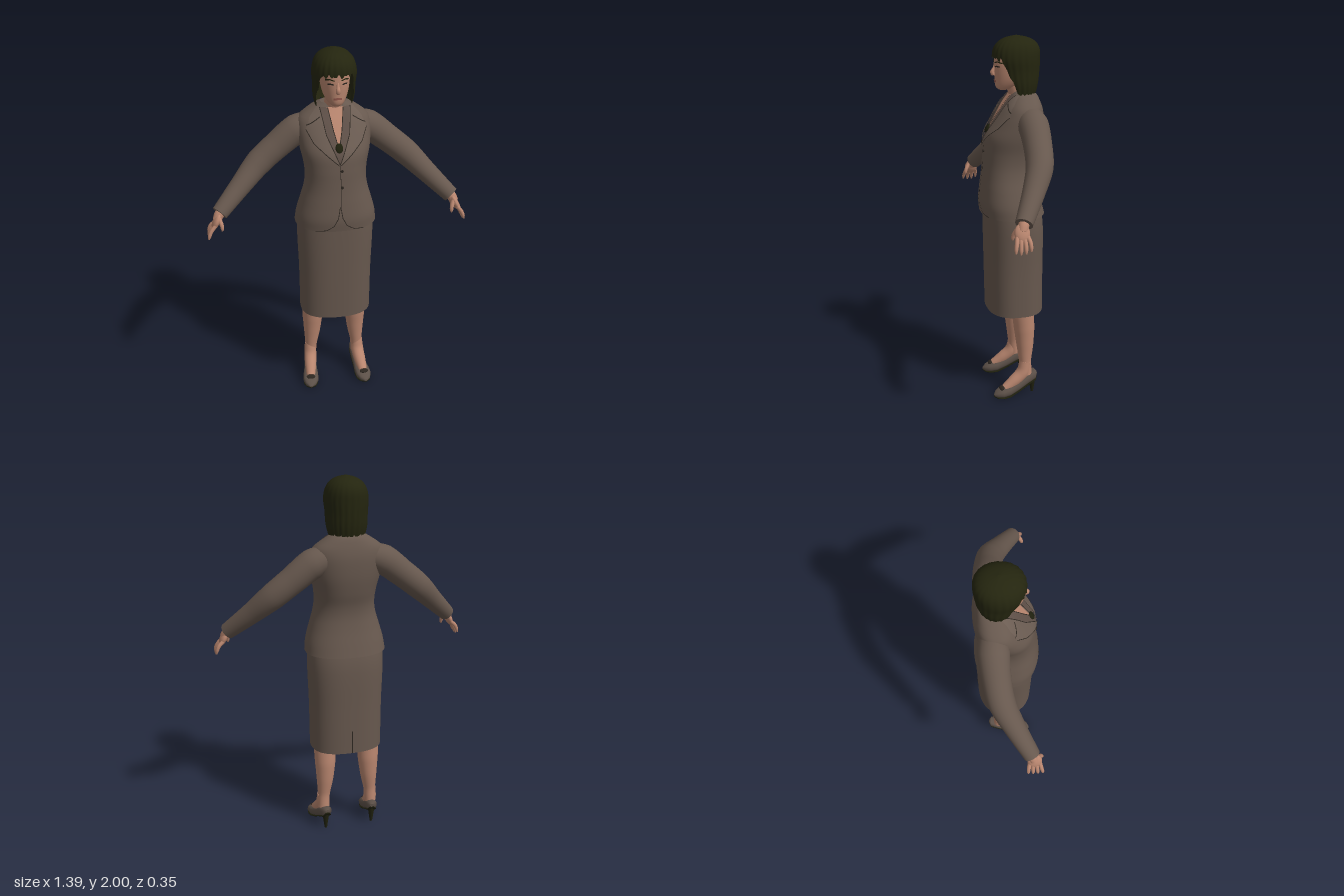
import * as THREE from 'three';

const mat = (name, color) => new THREE.MeshStandardMaterial({ name, color, side: THREE.DoubleSide });
const M = {
  suit: mat('suit cloth', 0x67584e), lapel: mat('lapel cloth', 0x6b5c52), shirt: mat('shirt cloth', 0x5f5048),
  skin: mat('skin', 0xb9866f), hair: mat('hair', 0x24250f), trim: mat('dark trim', 0x2c2620),
  shoe: mat('shoe leather', 0x5c5048), lining: mat('lining and soles', 0x1f200e), lips: mat('lips', 0x93584c),
};

// Cross-section tables, bottom to top: [y, half width, front z, back z]
const JACKET = [[1.06, .22, .17, -.173], [1.12, .212, .175, -.158], [1.2, .19, .168, -.138], [1.27, .17, .16, -.127],
  [1.33, .162, .155, -.13], [1.4, .167, .15, -.147], [1.48, .184, .137, -.161], [1.55, .193, .1, -.165],
  [1.6, .194, .07, -.163], [1.64, .182, .045, -.155], [1.67, .145, .024, -.145], [1.7, .098, .004, -.13], [1.715, .068, -.005, -.105]];
const SKIRT = [[.495, .198, .143, -.167], [.75, .2, .147, -.167], [1, .207, .15, -.165], [1.12, .2, .15, -.145]];
const HEAD = [[1.722, .022, .066, .015], [1.732, .036, .079, -.02], [1.75, .05, .085, -.06], [1.78, .064, .087, -.09],
  [1.82, .073, .09, -.11], [1.86, .077, .09, -.12], [1.92, .075, .08, -.12], [1.955, .05, .045, -.09], [1.97, .01, -.01, -.04]];
const HAIR = [[1.68, .09, .03, -.122], [1.75, .106, .06, -.14], [1.82, .109, .082, -.148], [1.88, .114, .097, -.151],
  [1.93, .106, .092, -.149], [1.965, .085, .068, -.13], [1.988, .05, .03, -.09], [2, .006, -.02, -.035]];

// Smoothly interpolated row of a section table
function section(table, y) {
  let i = 0;
  while (i < table.length - 2 && y > table[i + 1][0]) i++;
  const p = table[i], q = table[i + 1], o = table[i - 1] || p, r = table[i + 2] || q, h = q[0] - p[0];
  const t = THREE.MathUtils.clamp((y - p[0]) / h, 0, 1), t2 = t * t, t3 = t2 * t;
  return [1, 2, 3].map(k => {
    const m0 = (q[k] - o[k]) / (q[0] - o[0]) * h, m1 = (r[k] - p[k]) / (r[0] - p[0]) * h;
    return (2 * t3 - 3 * t2 + 1) * p[k] + (t3 - 2 * t2 + t) * m0 + (3 * t2 - 2 * t3) * q[k] + (t3 - t2) * m1;
  });
}
const spow = (v, p) => Math.sign(v) * Math.abs(v) ** p;
function around(table, y, a, p) {
  const [w, f, b] = section(table, y);
  return new THREE.Vector3(w * spow(Math.cos(a), p), y, (f + b) / 2 + (f - b) / 2 * spow(Math.sin(a), p));
}
function frontZ(table, x, y, p) {
  const [w, f, b] = section(table, y), c = Math.min(1, Math.abs(x / w) ** (1 / p));
  return (f + b) / 2 + (f - b) / 2 * Math.sqrt(1 - c * c) ** p;
}

function mesh(name, geometry, material, parent) {
  const m = new THREE.Mesh(geometry, material);
  m.name = name;
  parent.add(m);
  return m;
}
function build(pos, idx) {
  const g = new THREE.BufferGeometry();
  g.setAttribute('position', new THREE.Float32BufferAttribute(pos.flatMap(v => [v.x, v.y, v.z]), 3));
  g.setIndex(idx);
  g.computeVertexNormals();
  return g;
}
// Skin over closed rings of points, with optional flat caps
function loft(rings, capStart = true, capEnd = true) {
  const n = rings[0].length, pos = rings.flat(), idx = [];
  for (let i = 0; i < rings.length - 1; i++) for (let j = 0; j < n; j++) {
    const a = i * n + j, b = i * n + (j + 1) % n;
    idx.push(a, a + n, b, b, a + n, b + n);
  }
  const cap = (ring, end) => {
    const o = pos.length, c = new THREE.Vector3();
    ring.forEach(v => c.addScaledVector(v, 1 / n));
    pos.push(...ring, c);
    for (let j = 0; j < n; j++) {
      const k = o + (j + 1) % n;
      idx.push(...(end ? [o + j, o + n, k] : [o + j, k, o + n]));
    }
  };
  if (capStart) cap(rings[0], false);
  if (capEnd) cap(rings[rings.length - 1], true);
  return build(pos, idx);
}
const list = (n, fn) => Array.from({ length: n }, (_, i) => fn(i));
function body(table, p, steps, capStart = true, capEnd = true) {
  const y0 = table[0][0], y1 = table[table.length - 1][0];
  return loft(list(steps + 1, i => list(56, j => around(table, y0 + (y1 - y0) * i / steps, j / 56 * Math.PI * 2, p))), capStart, capEnd);
}
// Round limb through [x, y, z, radius] points
function limb(points, steps = 24, sides = 20) {
  const curve = new THREE.CatmullRomCurve3(points.map(p => new THREE.Vector3(p[0], p[1], p[2])));
  const fr = curve.computeFrenetFrames(steps);
  return loft(list(steps + 1, i => {
    const c = curve.getPointAt(i / steps), t = curve.getUtoTmapping(i / steps) * (points.length - 1);
    const k = Math.min(points.length - 2, Math.floor(t)), r = THREE.MathUtils.lerp(points[k][3], points[k + 1][3], t - k);
    return list(sides, j => {
      const a = j / sides * Math.PI * 2;
      return c.clone().addScaledVector(fr.binormals[i], r * Math.cos(a)).addScaledVector(fr.normals[i], r * Math.sin(a));
    });
  }));
}
// Thin cloth between two polylines, laid on the front of a section table
function strip(table, p, left, right, off, across = 8, along = 24) {
  const at = (line, t) => {
    const u = t * (line.length - 1), k = Math.min(line.length - 2, Math.floor(u));
    return [0, 1].map(c => THREE.MathUtils.lerp(line[k][c], line[k + 1][c], u - k));
  };
  const pos = [], idx = [];
  for (let i = 0; i <= along; i++) for (let j = 0; j <= across; j++) {
    const l = at(left, i / along), r = at(right, i / along), t = j / across;
    const x = l[0] + (r[0] - l[0]) * t, y = l[1] + (r[1] - l[1]) * t, a = i * (across + 1) + j, b = a + across + 1;
    pos.push(new THREE.Vector3(x, y, frontZ(table, x, y, p) + off));
    if (i < along && j < across) idx.push(a, b, a + 1, a + 1, b, b + 1);
  }
  return build(pos, idx);
}
function line(table, p, pts, width, off) {
  const side = s => pts.map((q, i) => {
    const a = pts[Math.max(0, i - 1)], b = pts[Math.min(pts.length - 1, i + 1)], d = Math.hypot(b[0] - a[0], b[1] - a[1]);
    return [q[0] - s * (b[1] - a[1]) / d * width / 2, q[1] + s * (b[0] - a[0]) / d * width / 2];
  });
  return strip(table, p, side(1), side(-1), off, 2, 20);
}

// Pump profile along z: [z, bottom, top, half width]
const SHOE = [[-.118, .105, .125, .01], [-.105, .082, .142, .03], [-.06, .062, .122, .036], [0, .028, .086, .037],
  [.05, .008, .066, .044], [.09, .004, .054, .044], [.12, .005, .04, .03], [.137, .01, .022, .007]];
function shoeLoft(lo, hi, wide) {
  return loft(SHOE.map(([z, b, t, w]) => list(24, j => {
    const a = j / 24 * Math.PI * 2, y0 = lo(b, t), y1 = hi(b, t);
    return new THREE.Vector3(w * wide * spow(Math.sin(a), .8), (y0 + y1) / 2 + (y1 - y0) / 2 * spow(Math.cos(a), .8), z);
  })));
}

export function createModel() {
  const model = new THREE.Group();
  model.name = 'woman in suit';
  const P = .86, H = .95;

  // Jacket and skirt
  mesh('jacket', body(JACKET, P, 48), M.suit, model);
  mesh('skirt', body(SKIRT, .8, 16, false), M.suit, model);
  const inner = SKIRT.map(([y, w, f, b]) => [y + .002, w - .006, f - .006, b + .006]);
  mesh('skirtLining', body(inner, .8, 6, false), M.lining, model);
  mesh('skirtSlit', new THREE.BoxGeometry(.005, .13, .006), M.trim, model).position.set(0, .562, -.166);

  // Neckline, collar, lapels and front edges
  mesh('neckline', strip(JACKET, P, [[-.045, 1.7], [-.022, 1.6], [0, 1.52]], [[.045, 1.7], [.022, 1.6], [0, 1.52]], .006), M.skin, model);
  for (const s of [1, -1]) {
    const m = pts => pts.map(([x, y]) => [x * s, y]);
    const edge = m([[.04, 1.7], [.022, 1.6], [0, 1.51]]), fold = m([[.08, 1.7], [.06, 1.58], [0, 1.44]]);
    const outer = m([[.095, 1.698], [.135, 1.655], [.158, 1.6], [.125, 1.54], [.004, 1.435]]);
    mesh('shirtCollar', strip(JACKET, P, edge, fold, .009), M.shirt, model);
    mesh('lapel', strip(JACKET, P, fold, outer, .011), M.lapel, model);
    mesh('collarEdge', line(JACKET, P, edge, .004, .013), M.trim, model);
    mesh('lapelFold', line(JACKET, P, fold, .004, .014), M.trim, model);
    mesh('lapelEdge', line(JACKET, P, outer.slice(2), .004, .014), M.trim, model);
    mesh('lapelNotch', line(JACKET, P, m([[.155, 1.62], [.13, 1.632], [.085, 1.66]]), .004, .014), M.trim, model);
    mesh('jacketFrontEdge', line(JACKET, P, m([[.002, 1.2], [.012, 1.14], [.035, 1.095], [.075, 1.07], [.13, 1.063]]), .004, .004), M.trim, model);
  }
  mesh('jacketClosing', line(JACKET, P, [[0, 1.44], [.006, 1.32], [.002, 1.2]], .003, .004), M.trim, model);
  for (const y of [1.4, 1.31]) {
    const b = mesh('button', new THREE.CylinderGeometry(.007, .007, .006, 12).rotateX(Math.PI / 2), M.trim, model);
    b.position.set(.012, y, frontZ(JACKET, .012, y, P) + .003);
  }
  const pendant = mesh('pendant', new THREE.SphereGeometry(1, 14, 10).scale(.02, .026, .008), M.lining, model);
  pendant.position.set(0, 1.52, frontZ(JACKET, 0, 1.52, P) + .012);
  pendant.rotation.x = -.5;

  // Head
  mesh('neck', limb([[0, 1.63, -.06, .058], [0, 1.69, -.042, .05], [0, 1.74, -.025, .049], [0, 1.79, -.015, .05]]), M.skin, model);
  mesh('head', body(HEAD, H, 30), M.skin, model);
  mesh('nose', limb([[0, 1.86, .083, .005], [0, 1.83, .092, .009], [0, 1.812, .1, .012], [0, 1.8, .093, .011]], 12, 12), M.skin, model);
  mesh('lips', line(HEAD, H, [[-.022, 1.768], [0, 1.77], [.022, 1.768]], .011, .004), M.lips, model);
  for (const s of [1, -1]) {
    mesh('eyebrow', line(HEAD, H, [[.018 * s, 1.864], [.04 * s, 1.87], [.06 * s, 1.863]], .006, .004), M.hair, model);
    mesh('eye', line(HEAD, H, [[.022 * s, 1.844], [.036 * s, 1.847], [.05 * s, 1.844]], .007, .004), M.trim, model);
  }

  // Hair: short fringe in front, longer ragged hem at sides and back
  const N = 96, rows = 26;
  mesh('hair', loft(list(rows + 1, i => list(N, j => {
    const a = j / N * Math.PI * 2, d = Math.abs(Math.atan2(Math.cos(a), Math.sin(a))), v = 1 - i / rows;
    const jag = (Math.sin(a * 17) + Math.sin(a * 29 + 1)) * .007;
    const hem = THREE.MathUtils.lerp(1.885, 1.7, THREE.MathUtils.smoothstep(d, .65, 1.4)) + jag;
    const q = around(HAIR, 2 - (2 - hem) * v ** 1.6, a, H), k = 1 + .018 * Math.sin(a * 23 + 2) * v;
    return q.set(q.x * k, q.y, -.03 + (q.z + .03) * k);
  })), false), M.hair, model);

  for (const s of [1, -1]) {
    const label = s > 0 ? 'left' : 'right';
    // Arm and hand
    const arm = new THREE.Group();
    arm.name = label + 'Arm';
    model.add(arm);
    const part = (name, pts, material, steps, sides) => mesh(name, limb(pts.map(p => [p[0] * s, ...p.slice(1)]), steps, sides), material, arm);
    part('sleeve', [[.12, 1.585, -.07, .07], [.19, 1.56, -.073, .08], [.3, 1.477, -.068, .073], [.4, 1.395, -.05, .07],
      [.5, 1.3, .005, .057], [.625, 1.183, .085, .044]], M.suit, 36, 24);
    part('wrist', [[.6, 1.205, .07, .026], [.627, 1.178, .087, .027], [.642, 1.15, .096, .024]], M.skin, 8, 14);
    const palm = mesh('palm', new THREE.SphereGeometry(1, 18, 14).scale(.019, .048, .038), M.skin, arm);
    palm.position.set(.645 * s, 1.145, .098);
    palm.rotation.z = .45 * s;
    const drop = [.012, .002, 0, .006];
    drop.forEach((e, k) => part('finger', [[.652, 1.13, .073 + .017 * k, .011], [.676, 1.095 + e, .066 + .022 * k, .0105],
      [.687, 1.07 + e, .064 + .0245 * k, .009], [.691, 1.053 + e, .064 + .025 * k, .004]], M.skin, 10, 10));
    part('thumb', [[.632, 1.165, .115, .013], [.62, 1.135, .133, .011], [.618, 1.115, .138, .009], [.619, 1.104, .139, .004]], M.skin, 10, 10);

    // Leg
    const leg = new THREE.Group();
    leg.name = label + 'Leg';
    model.add(leg);
    mesh('leg', limb([[.125, .64, -.035, .072], [.127, .5, -.038, .061], [.126, .4, -.046, .058], [.129, .3, -.05, .048],
      [.136, .2, -.05, .034], [.14, .12, -.055, .033]].map(p => [p[0] * s, ...p.slice(1)]), 30, 24), M.skin, leg);

    // Foot and heeled pump, toes turned slightly out
    const foot = new THREE.Group();
    foot.name = label + 'Foot';
    foot.position.x = .148 * s;
    foot.rotation.y = .13 * s;
    model.add(foot);
    mesh('instep', limb([[0, .2, -.05, .032], [0, .135, -.035, .037], [0, .088, .015, .034], [0, .048, .07, .026]], 16, 18), M.skin, foot);
    mesh('shoe', shoeLoft(b => b, (b, t) => t, 1), M.shoe, foot);
    mesh('sole', shoeLoft(b => b - .004, b => b + .006, .96), M.lining, foot);
    mesh('heel', new THREE.CylinderGeometry(.02, .007, .09, 14), M.lining, foot).position.set(0, .045, -.092);
    const bow = mesh('shoeOrnament', new THREE.SphereGeometry(1, 14, 10).scale(.026, .007, .014), M.trim, foot);
    bow.position.set(0, .055, .092);
    bow.rotation.x = .4;
  }
  return model;
}
